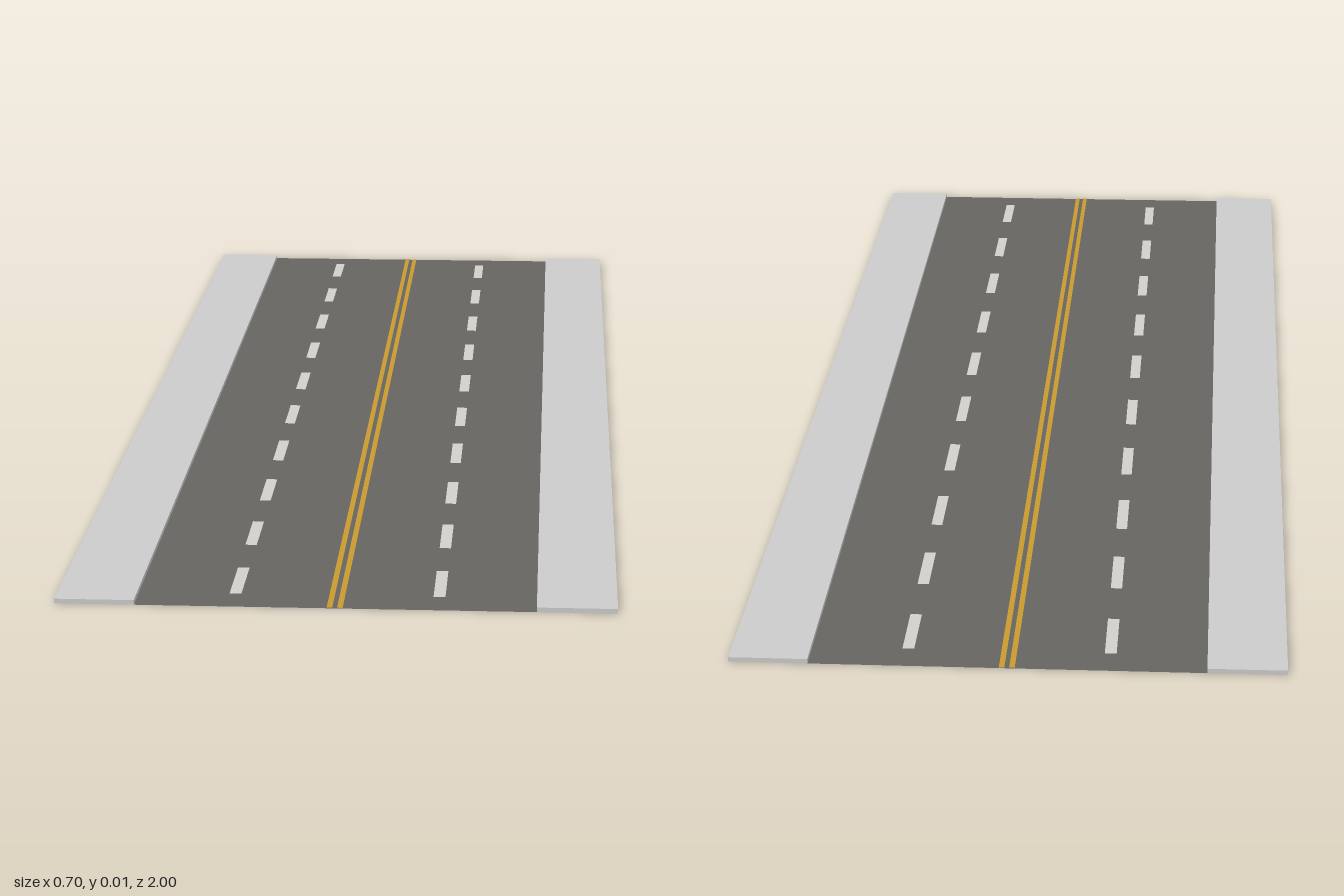
import * as THREE from 'three';

const mat = (name, color, side = THREE.FrontSide) => {
  const m = new THREE.MeshStandardMaterial({ color, side });
  m.name = name;
  return m;
};

export function createModel() {
  const asphalt = mat('asphalt', 0x676461, THREE.DoubleSide);
  const concrete = mat('concrete', 0xcbcbcb);
  const white = mat('white paint', 0xd2d0cc);
  const yellow = mat('yellow paint', 0xc89a2e);

  const length = 2, roadWidth = 0.5, walkWidth = 0.1, walkHeight = 0.006;
  const road = new THREE.Group();
  road.name = 'road';

  // Flat horizontal rectangle facing up
  const strip = (name, w, l, x, y, z, material) => {
    const mesh = new THREE.Mesh(new THREE.PlaneGeometry(w, l).rotateX(-Math.PI / 2), material);
    mesh.name = name;
    mesh.position.set(x, y, z);
    road.add(mesh);
  };

  strip('roadway', roadWidth, length, 0, 0, 0, asphalt);

  for (const [side, s] of [['left', 1], ['right', -1]]) {
    // Raised sidewalk along the edge
    const walk = new THREE.Mesh(new THREE.BoxGeometry(walkWidth, walkHeight, length), concrete);
    walk.name = `${side}Sidewalk`;
    walk.position.set(s * (roadWidth + walkWidth) / 2, walkHeight / 2, 0);
    road.add(walk);

    // Half of the double centre line
    strip(`${side}CentreLine`, 0.007, length, s * 0.0065, 0.001, 0, yellow);

    // Dashed lane divider
    for (let i = 0; i < 10; i++) {
      strip(`${side}LaneDash`, 0.015, 0.104, s * 0.128, 0.001, -0.9 + i * 0.2, white);
    }
  }

  return road;
}
